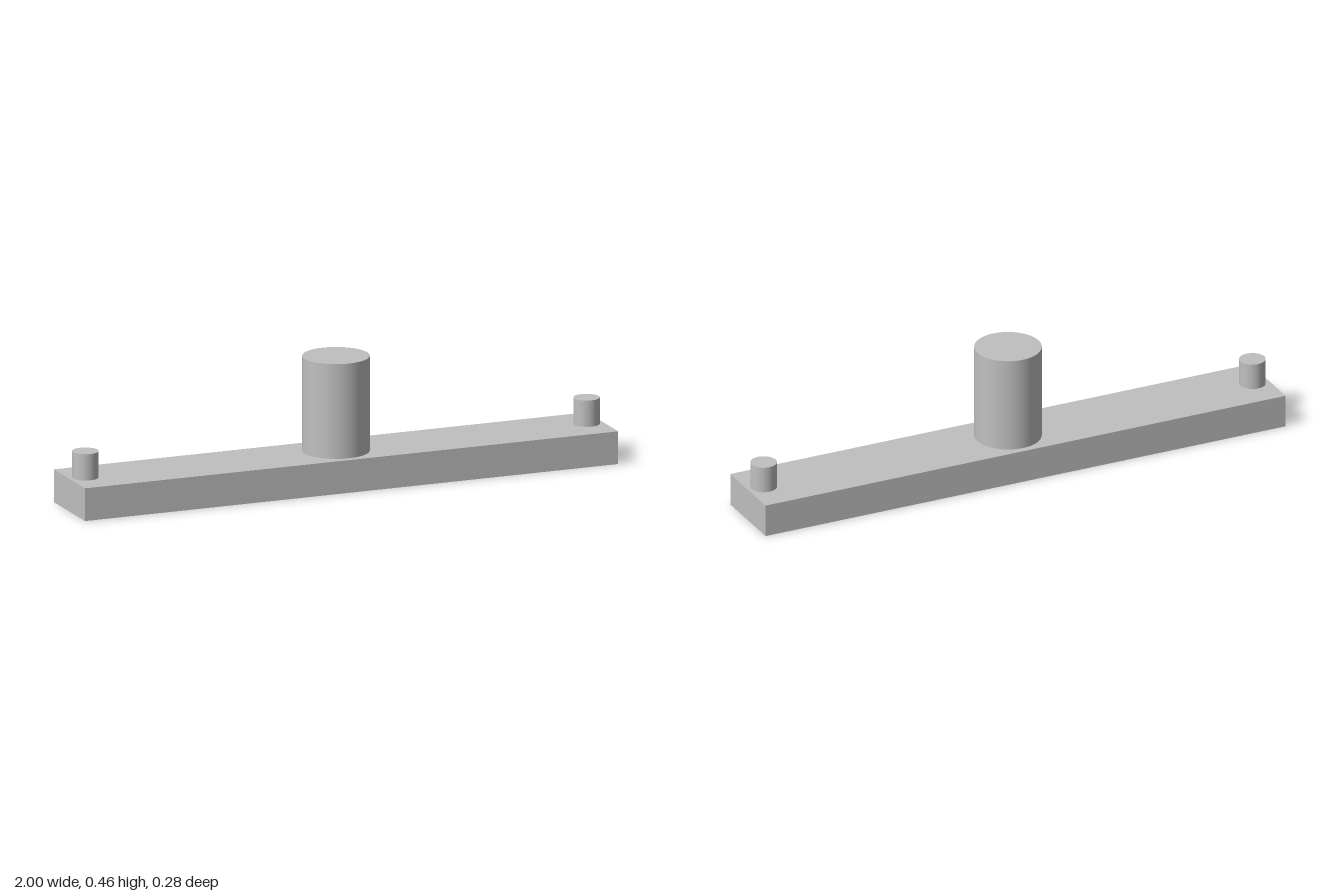
import * as THREE from 'three';

export function createModel() {
  const model = new THREE.Group();
  model.name = 'barWithPegs';
  const grey = new THREE.MeshStandardMaterial({ color: 0xc0c0c0 });
  grey.name = 'light grey';

  const barHeight = 0.117;

  // Flat base bar
  const bar = new THREE.Mesh(new THREE.BoxGeometry(2, barHeight, 0.28), grey);
  bar.name = 'baseBar';
  bar.position.y = barHeight / 2;
  model.add(bar);

  // Upright round post standing on the bar
  function addPost(name, x, radius, top) {
    const height = top - barHeight;
    const post = new THREE.Mesh(new THREE.CylinderGeometry(radius, radius, height, 64), grey);
    post.name = name;
    post.position.set(x, barHeight + height / 2, 0);
    model.add(post);
  }

  addPost('centrePost', 0, 0.117, 0.456);
  addPost('leftPeg', 0.94, 0.046, 0.211);
  addPost('rightPeg', -0.94, 0.046, 0.211);

  return model;
}
